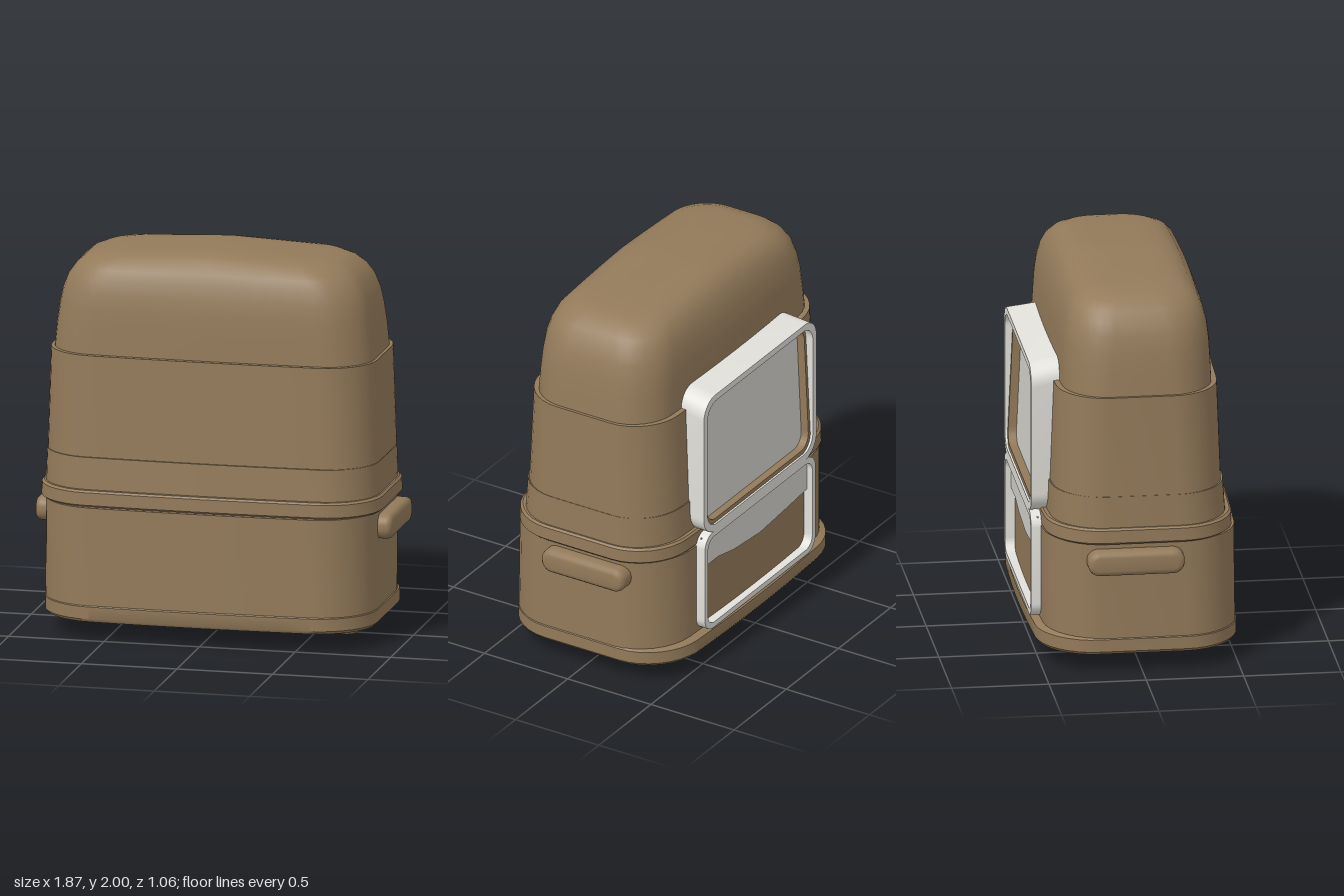
import * as THREE from 'three';
import { toCreasedNormals } from 'three/addons/utils/BufferGeometryUtils.js';

const mat = (name, color) => {
  const m = new THREE.MeshStandardMaterial({ color });
  m.name = name;
  return m;
};

// Rounded-rectangle outline with gently bowed long sides
function ring([y, hx, zFront, zBack, r]) {
  const hz = (zFront + zBack) / 2, zc = (zFront - zBack) / 2, pts = [];
  const signs = [[1, 1], [-1, 1], [-1, -1], [1, -1]];
  signs.forEach(([sx, sz], c) => {
    for (let k = 0; k <= 8; k++) {
      const a = (c + k / 8) * Math.PI / 2;
      pts.push([sx * (hx - r) + r * Math.cos(a), sz * (hz - r) + r * Math.sin(a)]);
    }
    if (c % 2 === 0) // subdivide the long front and back edges
      for (let k = 1; k < 8; k++) pts.push([sx * (hx - r) * (1 - k / 4), sz * hz]);
  });
  return pts.map(([x, z]) => {
    const bow = 1 - 0.06 * (x / hx) ** 2;
    // the crown rises slightly toward the middle
    const lift = 0.03 * Math.max(0, (y - 1.85) / 0.12) * (1 - Math.abs(x) / 0.7);
    return [x, y + lift, zc + z * bow];
  });
}

// Loft through levels of [y, half width, front z, back z, corner radius]
function loft(levels, capBottom, capTop) {
  const rings = levels.map(ring), n = rings[0].length, pos = rings.flat(2), idx = [];
  for (let i = 0; i < rings.length - 1; i++)
    for (let j = 0; j < n; j++) {
      const a = i * n + j, b = i * n + (j + 1) % n, c = b + n, d = a + n;
      idx.push(a, d, c, a, c, b);
    }
  const cap = (start, level, top) => {
    const centre = pos.length / 3;
    pos.push(0, top && level[0] > 1.9 ? 2 : level[0], (level[2] - level[3]) / 2);
    for (let j = 0; j < n; j++) {
      const a = start + j, b = start + (j + 1) % n;
      idx.push(centre, top ? b : a, top ? a : b);
    }
  };
  if (capBottom) cap(0, levels[0], false);
  if (capTop) cap((rings.length - 1) * n, levels.at(-1), true);
  const g = new THREE.BufferGeometry();
  g.setAttribute('position', new THREE.Float32BufferAttribute(pos, 3));
  g.setIndex(idx);
  return toCreasedNormals(g, 0.6);
}

function roundedRect(x0, y0, x1, y1, r, Type = THREE.Shape) {
  const s = new Type();
  s.absarc(x1 - r, y1 - r, r, 0, Math.PI / 2);
  s.absarc(x0 + r, y1 - r, r, Math.PI / 2, Math.PI);
  s.absarc(x0 + r, y0 + r, r, Math.PI, Math.PI * 1.5);
  s.absarc(x1 - r, y0 + r, r, Math.PI * 1.5, Math.PI * 2);
  s.closePath();
  return s;
}

// Extruded rounded rectangle with an opening, wall thickness t
function frameGeometry(hw, y0, y1, r, t, depth) {
  const s = roundedRect(-hw, y0, hw, y1, r);
  s.holes.push(roundedRect(-hw + t, y0 + t, hw - t, y1 - t, r - t * 0.6, THREE.Path));
  return new THREE.ExtrudeGeometry(s, { depth, bevelEnabled: false, curveSegments: 8 });
}

export function createModel() {
  const model = new THREE.Group();
  const brown = mat('brown shell', 0x937a5a);
  const white = mat('frame white', 0xe2e0da);
  const pale = mat('panel grey', 0xd5d2cc);
  const teal = mat('teal', 0x0cdcd4);
  const add = (name, geometry, material, x = 0, y = 0, z = 0, parent = model) => {
    const m = new THREE.Mesh(geometry, material);
    m.name = name;
    m.position.set(x, y, z);
    parent.add(m);
    return m;
  };

  // Stacked shell, from the bottom rim to the crown
  add('bottomRim', loft([
    [0.14, 0.8, 0.46, 0.46, 0.22], [0.105, 0.8, 0.46, 0.46, 0.22], [0.105, 0.855, 0.52, 0.52, 0.28],
    [0.12, 0.868, 0.53, 0.53, 0.29], [0.185, 0.868, 0.53, 0.53, 0.29], [0.2, 0.855, 0.515, 0.485, 0.28],
  ]), brown);
  add('lowerBody', loft([[0.19, 0.864, 0.524, 0.49, 0.28], [0.7, 0.862, 0.518, 0.49, 0.28]], false, true), brown);
  add('beltBand', loft([
    [0.7, 0.88, 0.49, 0.48, 0.28], [0.71, 0.89, 0.502, 0.487, 0.28],
    [0.775, 0.888, 0.5, 0.485, 0.28], [0.785, 0.878, 0.49, 0.475, 0.28],
  ], true, true), brown);
  add('waist', loft([[0.78, 0.87, 0.468, 0.457, 0.26], [0.95, 0.866, 0.457, 0.45, 0.26]], false, true), brown);
  add('middleShell', loft([[0.94, 0.864, 0.446, 0.444, 0.25], [1.475, 0.85, 0.426, 0.424, 0.25]], false, true), brown);
  add('crown', loft([
    [1.46, 0.835, 0.398, 0.395, 0.23], [1.6, 0.822, 0.392, 0.388, 0.23], [1.7, 0.808, 0.387, 0.383, 0.23],
    [1.78, 0.792, 0.378, 0.374, 0.23], [1.85, 0.765, 0.36, 0.356, 0.22], [1.9, 0.73, 0.336, 0.333, 0.21],
    [1.938, 0.685, 0.3, 0.298, 0.2], [1.96, 0.63, 0.255, 0.253, 0.18], [1.969, 0.57, 0.2, 0.2, 0.15],
    [1.972, 0.48, 0.12, 0.12, 0.1],
  ], false, true), brown);

  // Upper window: flared frame, brown lining and tilted panel
  const upper = frameGeometry(0.54, 0.76, 1.55, 0.11, 0.035, 0.16);
  const p = upper.attributes.position;
  for (let i = 0; i < p.count; i++) {
    if (p.getZ(i) < 0.1) continue; // only the edge that meets the shell
    p.setX(i, p.getX(i) * 0.97);
    if (p.getY(i) > 1.2) p.setY(i, p.getY(i) + 0.025);
  }
  add('upperWindowFrame', toCreasedNormals(upper, 0.6), white, 0, 0, -0.53);
  const recess = new THREE.Group();
  recess.name = 'upperWindowRecess';
  recess.position.set(0, 1.155, -0.46);
  recess.rotation.x = 0.045;
  model.add(recess);
  add('windowLining', toCreasedNormals(frameGeometry(0.51, -0.365, 0.37, 0.09, 0.025, 0.055), 0.6),
    brown, 0, 0, -0.043, recess);
  add('upperWindowPanel', new THREE.ExtrudeGeometry(
    roundedRect(-0.495, -0.35, 0.495, 0.355, 0.07), { depth: 0.008, bevelEnabled: false }), pale, 0, 0, 0, recess);

  // Lower window
  add('lowerWindowFrame', toCreasedNormals(frameGeometry(0.53, 0.2, 0.76, 0.08, 0.03, 0.06), 0.6),
    white, 0, 0, -0.53);
  const lowerPanel = new THREE.Shape([
    [-0.51, 0.74], [-0.51, 0.55], [-0.3, 0.53], [-0.05, 0.51], [0.2, 0.53], [0.35, 0.56], [0.51, 0.56], [0.51, 0.74],
  ].map(([x, y]) => new THREE.Vector2(x, y)));
  add('lowerWindowPanel', new THREE.ExtrudeGeometry(lowerPanel, { depth: 0.008, bevelEnabled: false }),
    pale, 0, 0, -0.498);

  // Side handles
  for (const side of [-1, 1]) {
    const grip = roundedRect(-0.18, 0.572, 0.255, 0.642, 0.03);
    const g = new THREE.ExtrudeGeometry(grip, {
      depth: 0.06, bevelThickness: 0.03, bevelSize: 0.03, bevelSegments: 3, curveSegments: 6,
    });
    g.rotateY(side * Math.PI / 2);
    // the grip is off-centre, so the mirrored one shifts to the same depth
    add('sideHandle', toCreasedNormals(g, 0.6), brown, side * 0.843, 0, side < 0 ? -0.075 : 0);
  }

  // Recessed underside with a teal inlay
  add('undersidePlate', loft([[0.12, 0.81, 0.47, 0.47, 0.22], [0.14, 0.81, 0.47, 0.47, 0.22]], true, false), pale);
  const inlay = new THREE.Shape([
    [0.43, 0.31], [0.41, 0.1], [0.38, -0.05], [0.25, -0.09], [0.12, -0.1], [0.04, -0.18], [-0.04, -0.26],
    [-0.3, -0.26], [-0.55, -0.23], [-0.55, 0.27], [-0.3, 0.31],
  ].map(([x, z]) => new THREE.Vector2(x, z)));
  const inlayGeometry = new THREE.ExtrudeGeometry(inlay, { depth: 0.008, bevelEnabled: false });
  inlayGeometry.rotateX(Math.PI / 2);
  add('tealInlay', inlayGeometry, teal, 0, 0.122, 0);

  // Winding crank
  const crank = new THREE.Group();
  crank.name = 'windingCrank';
  model.add(crank);
  const lathe = (points) => toCreasedNormals(new THREE.LatheGeometry(
    points.map(([r, y]) => new THREE.Vector2(r, y)), 20), 0.6);
  add('crankKnob', lathe([[0, 0.005], [0.05, 0.005], [0.062, 0.018], [0.062, 0.045], [0.045, 0.058],
    [0.055, 0.065], [0.08, 0.075], [0.08, 0.1], [0.05, 0.125]]), brown, 0.655, 0, 0.01, crank);
  const arm = add('crankArm', new THREE.CapsuleGeometry(0.035, 0.26, 6, 12), brown, 0.49, 0.058, 0.01, crank);
  arm.rotation.z = Math.PI / 2 - 0.06;
  arm.scale.x = 0.65;
  const grip = add('crankGrip', new THREE.SphereGeometry(0.06, 16, 10), brown, 0.37, 0.058, 0.01, crank);
  grip.scale.set(1.2, 0.65, 0.9);

  // Scalloped setting knob
  const dial = new THREE.Group();
  dial.name = 'settingKnob';
  dial.position.set(0.46, 0, -0.295);
  model.add(dial);
  add('dialHub', lathe([[0, 0.012], [0.05, 0.012], [0.065, 0.025], [0.065, 0.05], [0.1, 0.06], [0.11, 0.07],
    [0.1, 0.09], [0.08, 0.1], [0.08, 0.125]]), brown, 0, 0, 0, dial);
  for (let i = 0; i < 6; i++) {
    const a = i * Math.PI / 3;
    add('dialLobe', new THREE.CylinderGeometry(0.035, 0.035, 0.025, 12), brown,
      0.105 * Math.cos(a), 0.07, 0.105 * Math.sin(a), dial);
  }
  return model;
}
